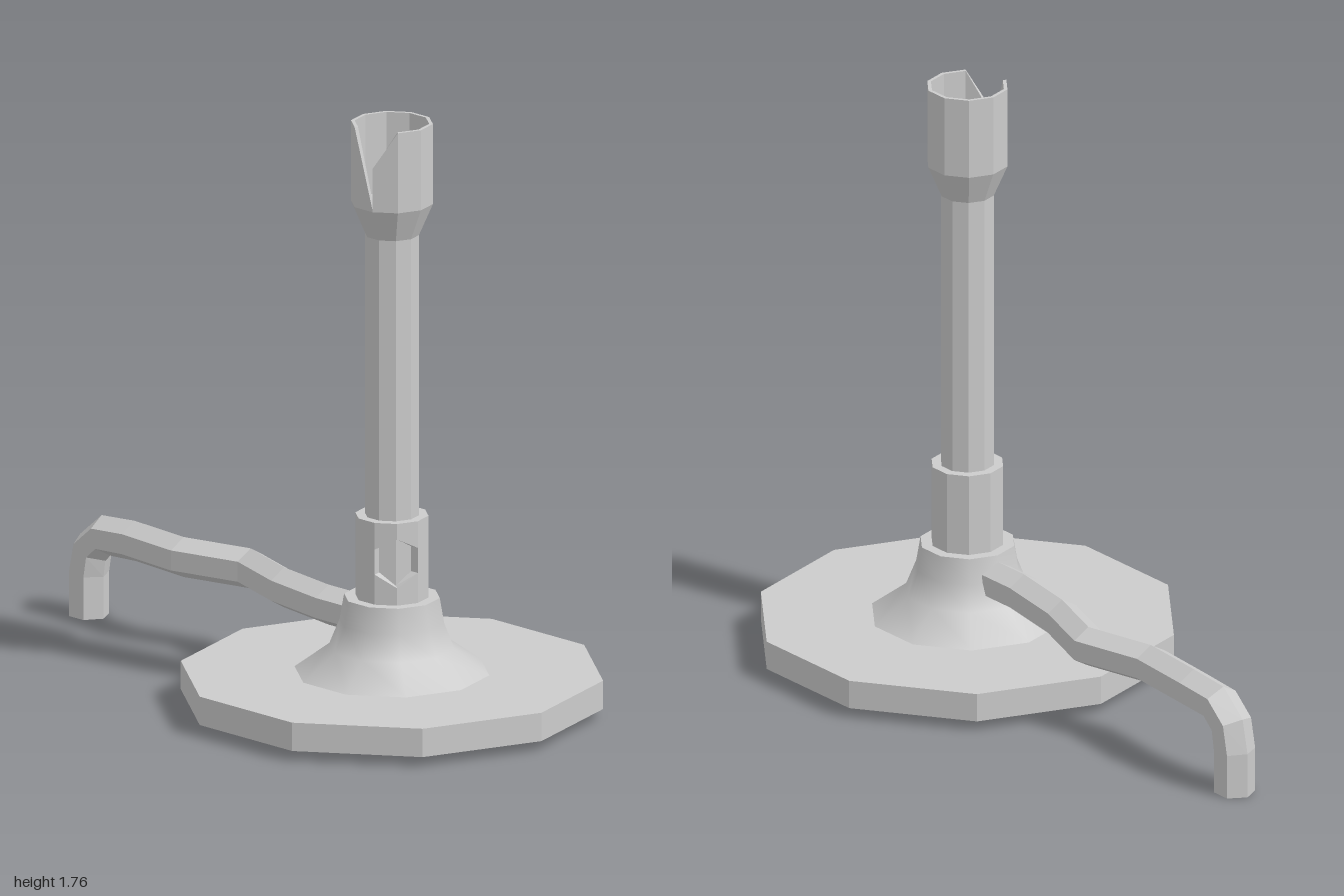
import * as THREE from 'three';

const SIDES = 10, AXIS_X = 0.382;
const flat = new THREE.MeshStandardMaterial({ color: 0xcccccc, flatShading: true, side: THREE.DoubleSide });
const smooth = new THREE.MeshStandardMaterial({ color: 0xcccccc, side: THREE.DoubleSide });

// Point on the k-th corner of a ten-sided ring
const ring = (k, r, y) => {
  const a = (k * 2 * Math.PI) / SIDES;
  return [r * Math.cos(a), y, r * Math.sin(a)];
};

// Collects quads (corners counter-clockwise from outside) into one geometry
function quadBuilder() {
  const pos = [];
  return {
    quad(a, b, c, d) { pos.push(...a, ...b, ...c, ...a, ...c, ...d); },
    build() {
      const g = new THREE.BufferGeometry();
      g.setAttribute('position', new THREE.Float32BufferAttribute(pos, 3));
      g.computeVertexNormals();
      return g;
    },
  };
}

function mesh(name, geometry, material = flat) {
  const m = new THREE.Mesh(geometry, material);
  m.name = name;
  return m;
}

const lathe = (points) => new THREE.LatheGeometry(
  points.map(([r, y]) => new THREE.Vector2(r, y)), SIDES, Math.PI / 2);

// Collar with a hexagonal air hole spread over two neighbouring faces
function collarGeometry() {
  const q = quadBuilder(), R = 0.107, r = 0.079, y0 = 0.33, y1 = 0.585;
  const hole = [[0.43, 0.505], [0.392, 0.538], [0.43, 0.505]];
  for (let k = 0; k < SIDES; k++) {
    const wall = (a0, b0, a1, b1) =>
      q.quad(ring(k, R, a0), ring(k, R, a1), ring(k + 1, R, b1), ring(k + 1, R, b0));
    if (k < 2) {
      const [la, ha] = hole[k], [lb, hb] = hole[k + 1];
      wall(y0, y0, la, lb);
      wall(ha, hb, y1, y1);
      q.quad(ring(k, R, la), ring(k, r, la), ring(k + 1, r, lb), ring(k + 1, R, lb));
      q.quad(ring(k, r, ha), ring(k, R, ha), ring(k + 1, R, hb), ring(k + 1, r, hb));
    } else wall(y0, y0, y1, y1);
    q.quad(ring(k, R, y1), ring(k, r, y1), ring(k + 1, r, y1), ring(k + 1, R, y1));
  }
  // Upright sides of the hole
  q.quad(ring(0, R, 0.43), ring(0, R, 0.505), ring(0, r, 0.505), ring(0, r, 0.43));
  q.quad(ring(2, r, 0.43), ring(2, r, 0.505), ring(2, R, 0.505), ring(2, R, 0.43));
  return q.build();
}

// Flared mouth: thin walls, a lopsided V notch and a floor
function mouthGeometry() {
  const q = quadBuilder(), R = 0.12, r = 0.109, bottom = 1.52, top = 1.76;
  const heights = Array.from({ length: SIDES }, () => [top, top]);
  heights[1] = [top, 1.65];
  heights[2] = [1.525, top];
  heights.forEach(([a, b], k) => {
    const n = k + 1;
    q.quad(ring(k, R, bottom), ring(k, R, a), ring(n, R, b), ring(n, R, bottom));
    q.quad(ring(n, r, bottom), ring(n, r, b), ring(k, r, a), ring(k, r, bottom));
    q.quad(ring(k, R, a), ring(k, r, a), ring(n, r, b), ring(n, R, b));
    const next = heights[n % SIDES][0];
    if (next !== b) q.quad(ring(n, R, next), ring(n, R, b), ring(n, r, b), ring(n, r, next));
    q.quad(ring(k, r, bottom), [0, bottom, 0], [0, bottom, 0], ring(n, r, bottom));
  });
  return q.build();
}

// Six-sided hose swept along a path, with an edge kept on its outer side
function hoseGeometry() {
  const path = [
    [0.32, 0.26, 0], [0.12, 0.26, 0], [-0.1, 0.26, -0.035], [-0.31, 0.26, -0.105],
    [-0.53, 0.26, -0.05], [-0.75, 0.26, -0.068], [-0.87, 0.252, -0.068],
    [-0.925, 0.205, -0.068], [-0.94, 0.13, -0.068], [-0.94, 0, -0.068],
  ];
  const R = 0.06, q = quadBuilder();
  const rings = path.map((p, i) => {
    const a = path[Math.max(i - 1, 0)], b = path[Math.min(i + 1, path.length - 1)];
    const t = new THREE.Vector2(b[0] - a[0], b[1] - a[1]).normalize();
    return Array.from({ length: 6 }, (_, j) => {
      const c = R * Math.cos((j * Math.PI) / 3), s = R * Math.sin((j * Math.PI) / 3);
      return [p[0] + t.y * c, p[1] - t.x * c, p[2] + s];
    });
  });
  for (let i = 0; i < rings.length - 1; i++) {
    for (let j = 0; j < 6; j++) {
      const n = (j + 1) % 6;
      q.quad(rings[i][j], rings[i + 1][j], rings[i + 1][n], rings[i][n]);
    }
  }
  // Closed free end
  const e = rings[rings.length - 1];
  q.quad(e[0], e[1], e[2], e[3]);
  q.quad(e[0], e[3], e[4], e[5]);
  return q.build();
}

export function createModel() {
  const model = new THREE.Group();
  model.name = 'gasBurner';

  const burner = new THREE.Group();
  burner.name = 'burner';
  burner.position.x = AXIS_X;
  model.add(burner);

  // Ten-sided base plate
  const plate = new THREE.CylinderGeometry(0.618, 0.618, 0.085, SIDES);
  plate.rotateY(Math.PI / 2).translate(0, 0.0725, 0);
  burner.add(mesh('basePlate', plate));

  // Concave foot and its flat top
  burner.add(mesh('foot', lathe([[0.285, 0.115], [0.183, 0.19], [0.153, 0.265], [0.14, 0.34]]), smooth));
  burner.add(mesh('footTop', lathe([[0.14, 0.34], [0.1, 0.34]])));

  burner.add(mesh('collar', collarGeometry()));

  // Barrel widening into the mouth
  burner.add(mesh('barrel', lathe([[0.079, 0.34], [0.079, 1.425], [0.12, 1.52]])));
  burner.add(mesh('mouth', mouthGeometry()));

  model.add(mesh('gasHose', hoseGeometry()));
  return model;
}
